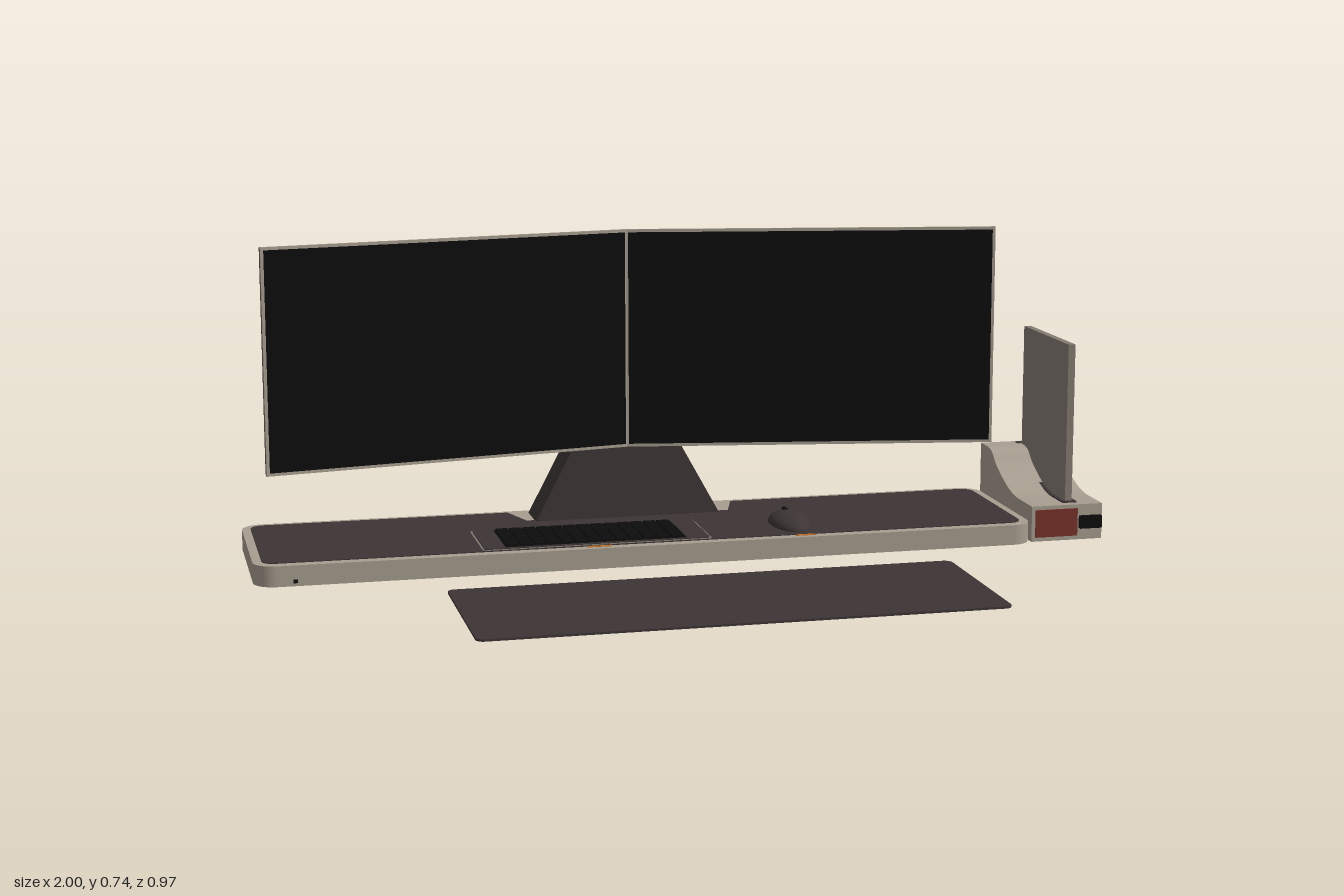
import * as THREE from 'three';

const mat = (name, color, opts = {}) => {
  const m = new THREE.MeshStandardMaterial({ color, ...opts });
  m.name = name;
  return m;
};

export function createModel() {
  const beige = mat('beige plastic', 0xa89e90);
  const taupe = mat('taupe card', 0x857d73);
  const charcoal = mat('charcoal plastic', 0x3d3535);
  const black = mat('black', 0x0d0d0d);
  const red = mat('dark red', 0x7a332b);
  const orange = mat('orange accent', 0xc8782a);
  const model = new THREE.Group();

  const add = (name, geo, material, parent = model) => {
    const m = new THREE.Mesh(geo, material);
    m.name = name;
    parent.add(m);
    return m;
  };
  // Box given by its limits on each axis
  const box = (name, x0, x1, y0, y1, z0, z1, material, parent) =>
    add(name, new THREE.BoxGeometry(x1 - x0, y1 - y0, z1 - z0)
      .translate((x0 + x1) / 2, (y0 + y1) / 2, (z0 + z1) / 2), material, parent);
  // Flat slab with rounded corners
  const slab = (name, x0, x1, y0, y1, z0, z1, r, material) => {
    const s = new THREE.Shape();
    const a = -z1, b = -z0;
    s.moveTo(x0 + r, a);
    s.lineTo(x1 - r, a); s.absarc(x1 - r, a + r, r, -Math.PI / 2, 0);
    s.lineTo(x1, b - r); s.absarc(x1 - r, b - r, r, 0, Math.PI / 2);
    s.lineTo(x0 + r, b); s.absarc(x0 + r, b - r, r, Math.PI / 2, Math.PI);
    s.lineTo(x0, a + r); s.absarc(x0 + r, a + r, r, Math.PI, Math.PI * 1.5);
    return add(name, new THREE.ExtrudeGeometry(s, { depth: y1 - y0, bevelEnabled: false, curveSegments: 8 })
      .rotateX(-Math.PI / 2).translate(0, y0, 0), material);
  };
  // Flat-faced loft through four-cornered sections, counter-clockwise seen from the last one
  const loft = (sections) => {
    const pos = [];
    const quad = (a, b, c, d) => pos.push(...a, ...b, ...c, ...a, ...c, ...d);
    for (let i = 0; i < sections.length - 1; i++) {
      const p = sections[i], q = sections[i + 1];
      for (let k = 0; k < 4; k++) quad(p[k], p[(k + 1) % 4], q[(k + 1) % 4], q[k]);
    }
    const f = sections[0], l = sections[sections.length - 1];
    quad(f[3], f[2], f[1], f[0]);
    quad(l[0], l[1], l[2], l[3]);
    const g = new THREE.BufferGeometry();
    g.setAttribute('position', new THREE.Float32BufferAttribute(pos, 3));
    g.computeVertexNormals();
    return g;
  };

  // Base tray
  slab('baseTray', -1, 0.815, 0.003, 0.05, -0.485, -0.06, 0.05, beige);
  for (const z of [-0.435, -0.11]) box('footRail', -0.94, 0.76, 0, 0.004, z - 0.006, z + 0.006, black);

  // Dark top panel, notched at the back for the stand
  const top = new THREE.Shape();
  const r = 0.035, x0 = -0.98, x1 = 0.795, a = 0.085, b = 0.465;
  top.moveTo(x0 + r, a);
  top.lineTo(x1 - r, a); top.quadraticCurveTo(x1, a, x1, a + r);
  top.lineTo(x1, b - r); top.quadraticCurveTo(x1, b, x1 - r, b);
  top.lineTo(0.18, b); top.lineTo(0.15, 0.37);
  top.lineTo(-0.34, 0.37); top.lineTo(-0.37, b);
  top.lineTo(x0 + r, b); top.quadraticCurveTo(x0, b, x0, b - r);
  top.lineTo(x0, a + r); top.quadraticCurveTo(x0, a, x0 + r, a);
  add('topPanel', new THREE.ExtrudeGeometry(top, { depth: 0.004, bevelEnabled: false })
    .rotateX(-Math.PI / 2).translate(0, 0.048, 0), charcoal);

  // Orange marks on the front rim
  box('frontMark', -0.25, -0.195, 0.05, 0.052, -0.082, -0.075, orange);
  box('frontMark', 0.24, 0.285, 0.05, 0.052, -0.082, -0.075, orange);

  // Ports on the back and front edges
  for (const [px, w] of [[-0.84, 0.05], [-0.75, 0.05], [-0.62, 0.14], [0.5, 0.015]])
    box('rearPort', px - w / 2, px + w / 2, 0.02, 0.034, -0.487, -0.48, black);
  box('frontPort', -0.915, -0.905, 0.01, 0.018, -0.065, -0.0585, black);

  // Keyboard
  slab('keyboardRim', -0.488, 0.043, 0.05, 0.053, -0.288, -0.088, 0.012, taupe);
  slab('keyboardTray', -0.484, 0.039, 0.05, 0.055, -0.284, -0.092, 0.01, charcoal);
  box('keyBed', -0.435, -0.015, 0.053, 0.056, -0.272, -0.1, black);
  for (let row = 0; row < 5; row++)
    for (let col = 0; col < 13; col++) {
      const kx = -0.431 + col * 0.0318, kz = -0.269 + row * 0.0336;
      box('key', kx, kx + 0.028, 0.055, 0.06, kz, kz + 0.03, black);
    }

  // Mouse
  const body = add('mouse', new THREE.SphereGeometry(1, 28, 10, 0, Math.PI * 2, 0, Math.PI / 2), charcoal);
  body.scale.set(0.047, 0.03, 0.092);
  body.position.set(0.255, 0.051, -0.192);
  const wheel = add('mouseWheel', new THREE.SphereGeometry(1, 12, 8), black);
  wheel.scale.set(0.007, 0.006, 0.018);
  wheel.position.set(0.255, 0.077, -0.235);

  // Desk mat
  slab('deskMat', -0.592, 0.567, 0, 0.005, 0.058, 0.48, 0.018, charcoal);

  // Stand: flared foot and tapering column
  const cx = -0.0975;
  const ring = ([y, w, zb, zf]) => [[cx - w, y, zf], [cx + w, y, zf], [cx + w, y, zb], [cx - w, y, zb]];
  add('standFoot', loft([[0.045, 0.225, -0.46, -0.354], [0.22, 0.13, -0.472, -0.368]].map(ring)), charcoal);
  add('standColumn', loft([[0.22, 0.13, -0.472, -0.385], [0.3, 0.115, -0.466, -0.38],
    [0.45, 0.1, -0.455, -0.375], [0.6, 0.085, -0.43, -0.375], [0.625, 0.078, -0.4, -0.375]].map(ring)), charcoal);
  const cover = add('cableCover', new THREE.BoxGeometry(0.13, 0.16, 0.006), charcoal);
  cover.position.set(cx, 0.37, -0.4615);
  cover.rotation.x = 0.073;

  // Two angled monitors meeting above the stand
  for (const s of [1, -1]) {
    const mon = new THREE.Group();
    mon.name = s > 0 ? 'leftMonitor' : 'rightMonitor';
    mon.position.set(cx, 0, -0.362);
    mon.rotation.y = -s * 0.172;
    model.add(mon);
    const part = (name, u0, u1, y0, y1, z0, z1, m) =>
      box(name, Math.min(s * u0, s * u1), Math.max(s * u0, s * u1), y0, y1, z0, z1, m, mon);
    part('bezel', 0, 0.87, 0.22, 0.737, -0.007, 0, beige);
    part('screen', 0.004, 0.863, 0.227, 0.73, -0.001, 0.001, black);
    part('backPlate', -0.003, 0.868, 0.222, 0.735, -0.02, -0.006, charcoal);
    // Raised rear housing with sloping edges
    const face = (u0, u1, y0, y1, z) => {
      const l = Math.min(s * u0, s * u1), h = Math.max(s * u0, s * u1);
      return [[h, y0, z], [l, y0, z], [l, y1, z], [h, y1, z]];
    };
    add('rearHousing', loft([face(-0.006, 0.77, 0.265, 0.64, -0.018),
      face(-0.01, 0.69, 0.31, 0.595, -0.052)]), charcoal, mon);
    // Vent slots along the upper and lower slopes
    for (const [y, tilt] of [[0.6175, 1], [0.2875, -1]])
      for (let i = 0; i < 26; i++) {
        const v = add('ventSlot', new THREE.BoxGeometry(0.012, 0.034, 0.004), black, mon);
        v.position.set(s * (0.14 + i * 0.021), y, -0.035);
        v.rotation.x = tilt * 0.93;
      }
  }

  // Side dock with a swept top
  const dockShape = (e) => {
    const p = new THREE.Shape();
    p.moveTo(0.09 + e, e);
    p.lineTo(0.455 - e, e);
    p.lineTo(0.455 - e, 0.169 - e);
    p.lineTo(0.405, 0.169 - e);
    p.bezierCurveTo(0.36, 0.165 - e, 0.37, 0.15 - e, 0.335, 0.132 - e);
    p.bezierCurveTo(0.28, 0.102 - e, 0.23, 0.085 - e, 0.18, 0.085 - e);
    p.lineTo(0.09 + e, 0.085 - e);
    return p;
  };
  const dockPart = (name, e, xa, xb, m) =>
    add(name, new THREE.ExtrudeGeometry(dockShape(e), { depth: xb - xa, bevelEnabled: false, curveSegments: 10 })
      .rotateY(Math.PI / 2).translate(xa, 0, 0), m);
  dockPart('dock', 0, 0.82, 0.996, beige);
  dockPart('dockSidePanel', 0.009, 0.99, 0.999, red);
  box('dockFrontPanel', 0.829, 0.934, 0.01, 0.076, -0.095, -0.087, red);
  box('dockSocket', 0.938, 0.992, 0.028, 0.058, -0.095, -0.078, black);
  // Slot lining follows the swept top in short steps
  const heights = [0.086, 0.086, 0.087, 0.095, 0.109, 0.129, 0.16, 0.17];
  for (let i = 0; i < 7; i++) {
    const z = -0.112 - i * 0.0468;
    const q = (h) => [[0.905, h[0], z], [0.94, h[0], z], [0.94, h[1], z - 0.0468], [0.905, h[1], z - 0.0468]];
    add('slotLining', loft([q([0.05, 0.05]), q([heights[i] + 0.002, heights[i + 1] + 0.002])]
      .map((sec) => sec)), charcoal);
  }

  // Upright card standing in the dock slot
  box('uprightCard', 0.914, 0.931, 0.05, 0.464, -0.42, -0.121, taupe);

  return model;
}
